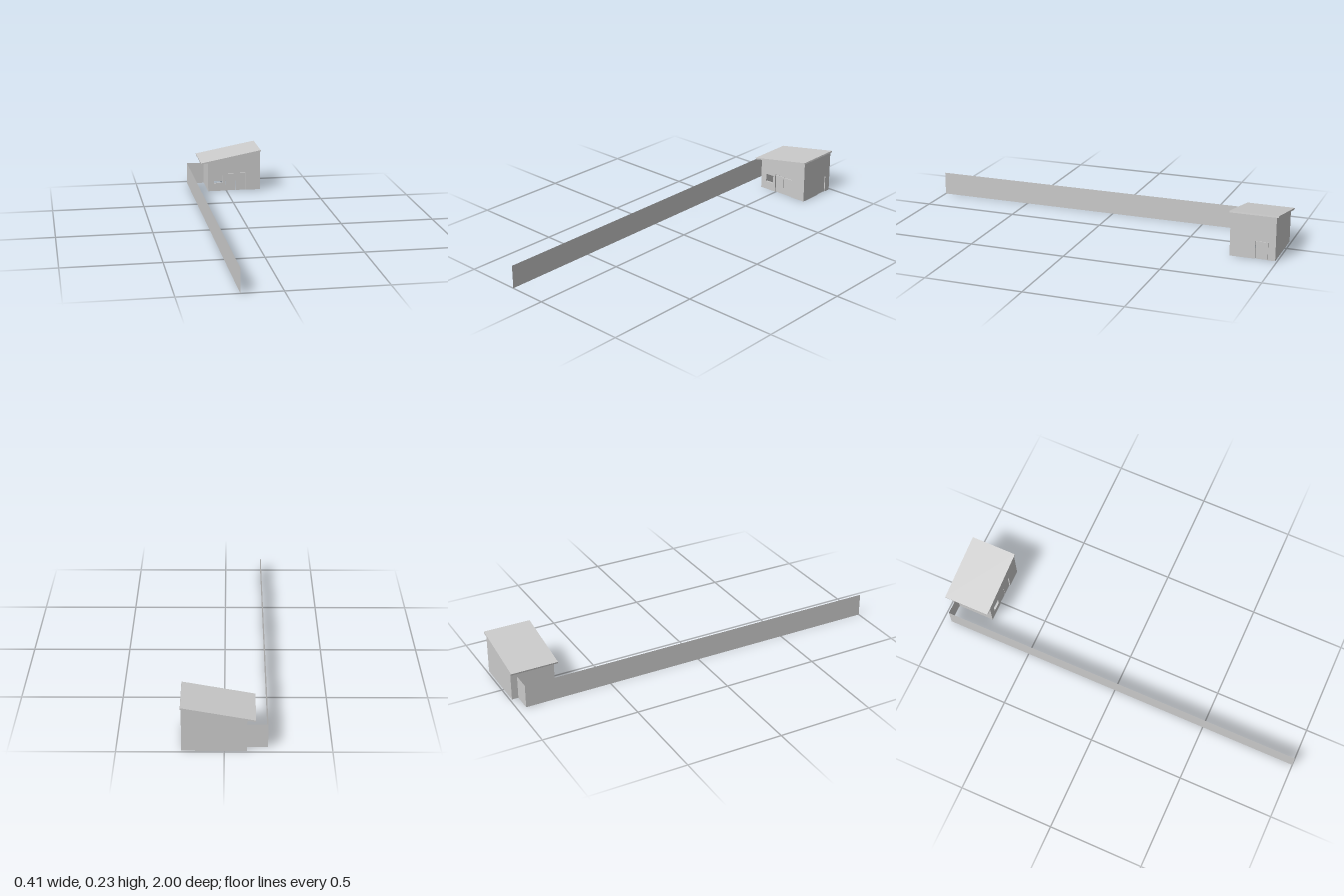
import * as THREE from 'three';

const grey = new THREE.MeshStandardMaterial({ color: 0xcccccc, flatShading: true });
const thin = new THREE.MeshStandardMaterial({ color: 0xcccccc, side: THREE.DoubleSide });

const WEST = -0.105, EAST = 0.198, FRONT = -0.76, BACK = -0.99, T = 0.01;
// Underside of the sloping roof at a given x
const eave = (x) => 0.16 + (x + 0.145) * 0.1855;

function outline(points) {
  return new THREE.Shape(points.map(([x, y]) => new THREE.Vector2(x, y)));
}

function slab(name, shape, depth, x, z, turn = 0) {
  const geo = new THREE.ExtrudeGeometry(shape, { depth, bevelEnabled: false });
  const mesh = new THREE.Mesh(geo, grey);
  mesh.name = name;
  mesh.position.set(x, 0, z);
  mesh.rotation.y = turn;
  return mesh;
}

function box(name, w, h, d, x, y, z) {
  const mesh = new THREE.Mesh(new THREE.BoxGeometry(w, h, d), grey);
  mesh.name = name;
  mesh.position.set(x, y, z);
  return mesh;
}

// Zero-thickness garden wall standing between two ground points
function fence(name, x0, z0, x1, z1, h) {
  const mesh = new THREE.Mesh(new THREE.PlaneGeometry(Math.hypot(x1 - x0, z1 - z0), h), thin);
  mesh.name = name;
  mesh.position.set((x0 + x1) / 2, h / 2, (z0 + z1) / 2);
  mesh.rotation.y = -Math.atan2(z1 - z0, x1 - x0);
  return mesh;
}

export function createModel() {
  const model = new THREE.Group();
  const house = new THREE.Group();
  house.name = 'house';
  model.add(house);

  // Front gable wall with a double doorway and an open window
  const dl = -0.006, dr = 0.112, dh = 0.105;
  const front = outline([
    [WEST, 0], [dl, 0], [dl, dh], [dr, dh], [dr, 0],
    [EAST, 0], [EAST, eave(EAST)], [WEST, eave(WEST)],
  ]);
  front.holes.push(outline([[-0.07, 0.046], [-0.07, 0.091], [-0.02, 0.091], [-0.02, 0.046]]));
  house.add(slab('frontWall', front, T, 0, FRONT - T));

  // Back gable wall
  const back = outline([[WEST, 0], [EAST, 0], [EAST, eave(EAST)], [WEST, eave(WEST)]]);
  house.add(slab('backWall', back, T, 0, BACK));

  // Tall side wall with a doorway; shape x runs towards -z
  const s0 = -FRONT + T, s1 = -BACK - T, sl = 0.888, sr = 0.953, sh = 0.092;
  const side = outline([
    [s0, 0], [sl, 0], [sl, sh], [sr, sh], [sr, 0],
    [s1, 0], [s1, eave(EAST)], [s0, eave(EAST)],
  ]);
  house.add(slab('tallSideWall', side, T, EAST - T, 0, Math.PI / 2));

  // Low side wall
  house.add(box('lowSideWall', T, eave(WEST), s1 - s0,
    WEST + T / 2, eave(WEST) / 2, (FRONT + BACK) / 2));

  // Door leaves, set back with narrow gaps
  for (const x of [0.0245, 0.0815]) {
    house.add(box('frontDoorLeaf', 0.055, 0.1, 0.005, x, 0.05, FRONT - 0.0065));
  }
  house.add(box('sideDoor', 0.005, 0.089, 0.061, EAST - 0.0065, 0.0445, -(sl + sr) / 2));

  // Sloping roof slab
  const roof = outline([
    [-0.144, eave(-0.144)], [0.202, eave(0.202)], [0.2005, eave(0.2005) + 0.0085], [-0.1455, eave(-0.1455) + 0.0085],
  ]);
  house.add(slab('roof', roof, 0.246, 0, -1));

  // Garden wall: short return from the house, then the long run forward
  model.add(fence('gardenWallReturn', -0.203, -0.956, WEST, -0.956, 0.122));
  model.add(fence('gardenWallLong', -0.203, -0.956, -0.203, 1, 0.122));

  return model;
}
